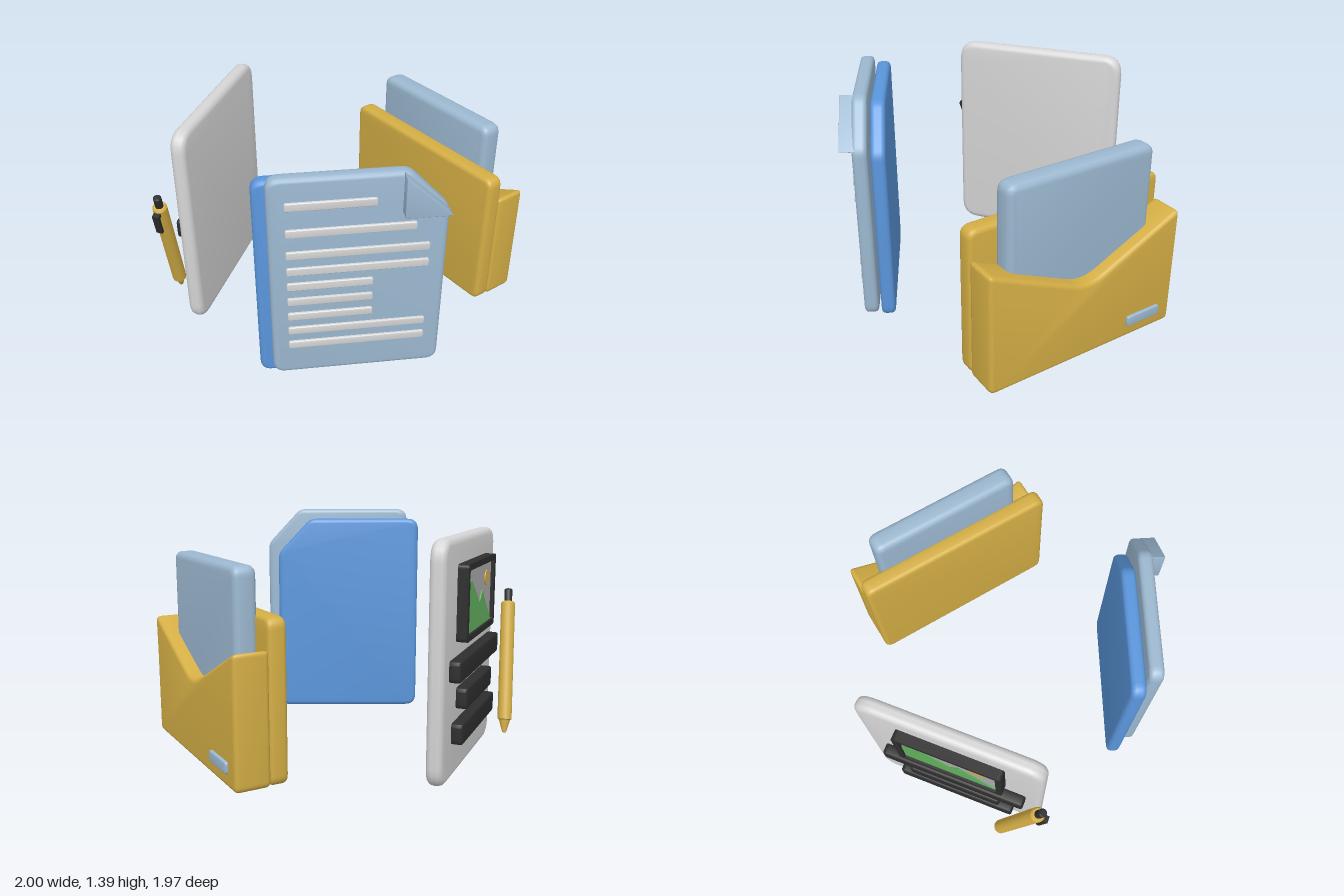
import * as THREE from 'three';
import { toCreasedNormals } from 'three/addons/utils/BufferGeometryUtils.js';

const mat = (name, color) => {
  const m = new THREE.MeshStandardMaterial({ color });
  m.name = name;
  return m;
};

// Closed outline through [x, y, cornerRadius] points with rounded corners
function outline(points) {
  const shape = new THREE.Shape();
  const n = points.length;
  const v = points.map(([x, y]) => new THREE.Vector2(x, y));
  for (let i = 0; i < n; i++) {
    const p = v[i], r = points[i][2];
    const toward = (q) => q.clone().sub(p).setLength(r).add(p);
    const a = toward(v[(i + n - 1) % n]), b = toward(v[(i + 1) % n]);
    if (i === 0) shape.moveTo(a.x, a.y); else shape.lineTo(a.x, a.y);
    shape.quadraticCurveTo(p.x, p.y, b.x, b.y);
  }
  shape.closePath();
  return shape;
}

const rect = (x0, x1, y0, y1, r) => [[x0, y0, r], [x1, y0, r], [x1, y1, r], [x0, y1, r]];

// Slab between depths z0 and z1 with bevelled edges
function slab(name, points, z0, z1, bevel, material) {
  const geo = new THREE.ExtrudeGeometry(outline(points), {
    depth: z1 - z0 - 2 * bevel, curveSegments: 6, bevelEnabled: bevel > 0,
    bevelSize: bevel, bevelThickness: bevel, bevelOffset: -bevel, bevelSegments: 3,
  });
  geo.translate(0, 0, z0 + bevel);
  const mesh = new THREE.Mesh(toCreasedNormals(geo, 0.6), material);
  mesh.name = name;
  return mesh;
}

function plate(name, shape, z, depth, material) {
  const geo = new THREE.ExtrudeGeometry(shape, { depth, bevelEnabled: false, curveSegments: 12 });
  const mesh = new THREE.Mesh(geo.translate(0, 0, z), material);
  mesh.name = name;
  return mesh;
}

function group(name, x, z, turn) {
  const g = new THREE.Group();
  g.name = name;
  g.position.set(x, 0, z);
  g.rotation.y = turn;
  return g;
}

export function createModel() {
  const paleBlue = mat('pale blue', 0x9cb8d0);
  const blue = mat('blue', 0x5a96dc);
  const yellow = mat('yellow', 0xd4ae45);
  const white = mat('light grey', 0xd6d6d6);
  const black = mat('black', 0x2e2e2e);
  const grey = mat('picture grey', 0xaaaaaa);
  const green = mat('green', 0x62b05e);
  const root = new THREE.Group();
  root.name = 'documents';

  // Two sheets with a cut corner
  const docTurn = -0.508;
  const sheet = (y0, y1) => [[-0.47, y0, 0.07], [0.47, y0, 0.07], [0.47, y1 - 0.23, 0.04],
    [0.255, y1, 0.04], [-0.47, y1, 0.07]];
  const backDoc = group('backSheetGroup', -0.338, 0.556, docTurn);
  backDoc.add(slab('backSheet', sheet(0.05, 1.34), -0.041, 0.041, 0.025, blue));
  const doc = group('frontSheetGroup', -0.32, 0.67, docTurn);
  doc.add(slab('frontSheet', sheet(0.115, 1.4), -0.041, 0.041, 0.025, paleBlue));

  // Folded corner
  const fold = [[0.222, 1.165, 0.008], [0.468, 1.165, 0.008], [0.222, 1.4, 0.008]];
  doc.add(slab('foldedCorner', fold, 0.02, 0.107, 0.003, paleBlue));

  // Lines of writing: [height, right end]
  const rows = [[1.245, 0.09], [1.083, 0.3], [0.945, 0.375], [0.84, 0.375], [0.74, 0.08],
    [0.637, 0.08], [0.535, 0.08], [0.434, 0.375], [0.332, 0.375]];
  for (const [y, end] of rows) {
    doc.add(slab('textLine', rect(-0.381, end, y - 0.024, y + 0.024, 0.012), 0.03, 0.055, 0.005, white));
  }

  // Thick page with picture and bars
  const page = group('pageGroup', -0.41, -0.625, Math.PI + 0.655);
  page.add(slab('page', rect(-0.545, 0.545, 0.005, 1.33, 0.12), -0.045, 0.045, 0.035, white));
  for (const [y, half] of [[0.63, 0.44], [0.45, 0.29], [0.27, 0.37]]) {
    page.add(slab('pageBar', rect(0.01 - half, 0.01 + half, y - 0.06, y + 0.06, 0.025), 0.04, 0.108, 0.012, black));
  }

  // Framed landscape
  const picture = new THREE.Group();
  picture.name = 'picture';
  picture.position.set(0.01, 0.975, 0);
  const frame = outline(rect(-0.315, 0.315, -0.21, 0.21, 0.025));
  frame.holes.push(outline(rect(-0.28, 0.28, -0.175, 0.175, 0.005)));
  picture.add(plate('pictureFrame', frame, 0.04, 0.065, black));
  picture.add(plate('pictureBackground', outline(rect(-0.282, 0.282, -0.177, 0.177, 0.001)), 0.04, 0.045, grey));
  const hills = new THREE.Shape([[-0.28, -0.175], [0.28, -0.175], [0.06, 0.025], [0.005, -0.035],
    [-0.2, 0.12], [-0.28, 0.03]].map(([x, y]) => new THREE.Vector2(x, y)));
  picture.add(plate('hills', hills, 0.085, 0.006, green));
  picture.add(plate('sun', new THREE.Shape().absarc(0.167, 0.085, 0.045, 0, Math.PI * 2), 0.085, 0.006, yellow));
  page.add(picture);

  // Pen leaning in front of the page, built upright from its tip
  const pen = new THREE.Group();
  pen.name = 'pen';
  const tip = new THREE.Vector3(0.319, 0.09, 0.195);
  const axis = new THREE.Vector3(0.582, 0.94, 0.135).sub(tip);
  const length = axis.length();
  pen.position.copy(tip);
  pen.quaternion.setFromUnitVectors(new THREE.Vector3(0, 1, 0), axis.normalize());
  const turned = (name, profile, material) => {
    const geo = new THREE.LatheGeometry(profile.map(([r, y]) => new THREE.Vector2(r, y)), 20);
    const mesh = new THREE.Mesh(toCreasedNormals(geo, 0.6), material);
    mesh.name = name;
    pen.add(mesh);
  };
  const top = length - 0.08;
  turned('penBody', [[0, 0], [0.012, 0.005], [0.034, 0.08], [0.043, 0.085], [0.043, top - 0.012],
    [0.034, top], [0, top]], yellow);
  turned('penButton', [[0.024, top - 0.01], [0.024, length - 0.008], [0.017, length], [0, length]], black);
  const clip = new THREE.Mesh(new THREE.BoxGeometry(0.018, 0.15, 0.04), black);
  clip.name = 'penClip';
  clip.position.set(0.062, top - 0.095, 0);
  const clipArm = new THREE.Mesh(new THREE.BoxGeometry(0.045, 0.025, 0.04), black);
  clipArm.name = 'penClipArm';
  clipArm.position.set(0.0485, top - 0.032, 0);
  pen.add(clip, clipArm);
  page.add(pen);

  // Envelope facing the model's left, with a card inside
  const envelope = group('envelope', 0.83, 0, Math.PI / 2);
  envelope.add(slab('envelopeBack', rect(-0.65, 0.6, 0.05, 0.945, 0.06), -0.15, -0.045, 0.025, yellow));
  const pocket = [[-0.65, 0.05, 0.04], [0.6, 0.05, 0.04], [0.6, 0.79, 0.035],
    [-0.02, 0.5, 0.11], [-0.65, 0.79, 0.035]];
  envelope.add(slab('envelopePocket', pocket, -0.05, 0.15, 0.025, yellow));
  envelope.add(slab('card', rect(-0.49, 0.445, 0.3, 1.195, 0.06), -0.06, 0.07, 0.035, paleBlue));
  envelope.add(slab('envelopeLabel', rect(0.265, 0.5, 0.133, 0.197, 0.015), 0.14, 0.167, 0.006, paleBlue));

  root.add(backDoc, doc, page, envelope);
  return root;
}
